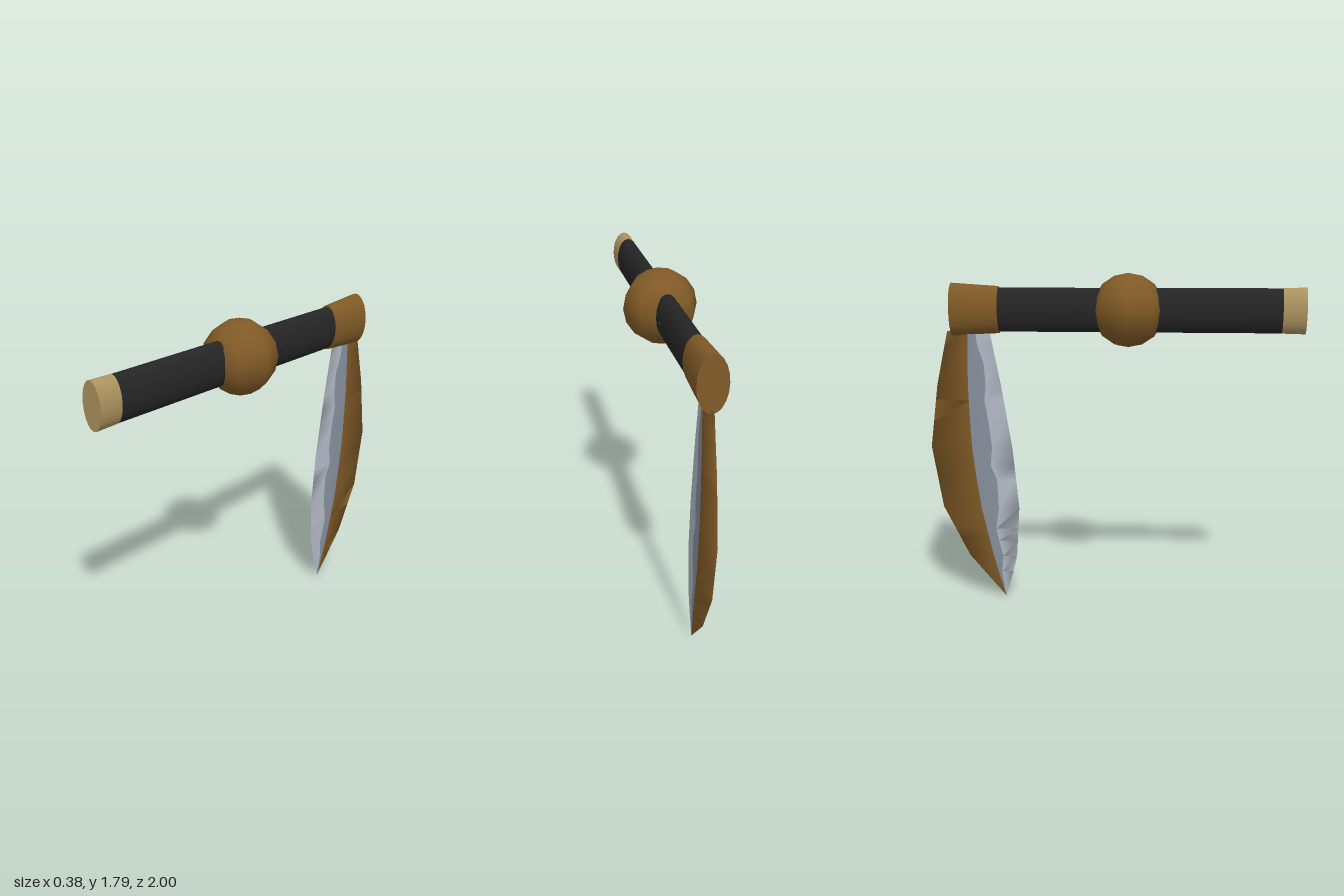
import * as THREE from 'three';

const material = (name, color) => {
  const m = new THREE.MeshStandardMaterial({ color });
  m.name = name;
  return m;
};

// Piecewise-linear lookup in a list of [y, value], ordered from top to bottom
function at(list, y) {
  for (let i = 0; i < list.length - 1; i++) {
    const [y0, v0] = list[i], [y1, v1] = list[i + 1];
    if (y >= y1) return v0 + (v1 - v0) * Math.min(1, (y0 - y) / (y0 - y1));
  }
  return list[list.length - 1][1];
}

// Thin diamond-section blade: front edge, wavy temper line, ridge and spine
function bladeGeometry() {
  const front = [[1.49, -0.655], [1.2, -0.6], [0.85, -0.545], [0.52, -0.515], [0.22, -0.535], [0.005, -0.6]];
  const spine = [[1.49, -0.885], [1.2, -0.95], [0.86, -0.995], [0.52, -0.94], [0.24, -0.8], [0.005, -0.6]];
  const ridge = [[1.49, -0.77], [1.2, -0.777], [0.88, -0.768], [0.55, -0.73], [0.25, -0.665], [0.005, -0.6]];
  const wave = [[1.49, -0.73], [1.42, -0.722], [1.32, -0.69], [1.2, -0.682], [1.12, -0.692], [1.0, -0.672],
    [0.86, -0.657], [0.76, -0.667], [0.68, -0.635], [0.52, -0.628], [0.4, -0.645], [0.33, -0.632],
    [0.24, -0.61], [0.15, -0.618], [0.005, -0.6]];
  const half = [[1.49, 0.02], [1.1, 0.019], [0.5, 0.014], [0.2, 0.009], [0.005, 0]];

  const ys = [...new Set([...wave, ...spine].map((p) => p[0]))].sort((a, b) => b - a);
  const pos = [], index = [];
  for (const y of ys) {
    const f = at(front, y), w = at(wave, y), r = at(ridge, y), h = at(half, y);
    const hw = f === r ? 0 : h * (f - w) / (f - r);
    pos.push(0, y, f, hw, y, w, h, y, r, 0, y, at(spine, y), -h, y, r, -hw, y, w);
  }
  const g = new THREE.BufferGeometry();
  // Material of each strip around the section
  [0, 1, 2, 2, 1, 0].forEach((mat, j) => {
    const start = index.length, k = (j + 1) % 6;
    for (let i = 0; i < ys.length - 1; i++) {
      const a = i * 6 + j, b = a + 6, d = i * 6 + k, c = d + 6;
      index.push(a, b, d, b, c, d);
    }
    g.addGroup(start, index.length - start, mat);
  });
  // Flat top with its own corners
  const n = pos.length / 3, start = index.length;
  pos.push(...pos.slice(0, 18));
  for (let i = 1; i < 5; i++) index.push(n, n + i, n + i + 1);
  g.addGroup(start, index.length - start, 2);
  g.setAttribute('position', new THREE.Float32BufferAttribute(pos, 3));
  g.setIndex(index);
  g.computeVertexNormals();
  return g;
}

export function createModel() {
  const group = new THREE.Group();
  const brown = material('brown', 0x805a26);
  const black = material('black', 0x252525);
  const tan = material('tan', 0xad945f);
  const light = material('bright steel', 0xb2b9c4);
  const steel = material('blue steel', 0x868f9d);
  const axisY = 1.605;

  const add = (name, geometry, mat, x = 0, y = 0, z = 0) => {
    const mesh = new THREE.Mesh(geometry, mat);
    mesh.name = name;
    mesh.position.set(x, y, z);
    group.add(mesh);
    return mesh;
  };
  // Oval rod running along z
  const rod = (name, mat, zFront, zBack, rFront, rBack) => {
    const g = new THREE.CylinderGeometry(rFront, rBack, zFront - zBack, 20);
    g.rotateX(Math.PI / 2).scale(0.53, 1, 1);
    add(name, g, mat, 0, axisY, (zFront + zBack) / 2);
  };

  rod('handle', black, 0.88, -0.6, 0.115, 0.115);
  rod('pommel', tan, 1, 0.88, 0.119, 0.116);
  rod('collar', brown, -0.6, -0.855, 0.123, 0.14);

  // Faceted ball around the handle
  add('ball', new THREE.SphereGeometry(0.192, 8, 8), brown, 0, axisY, 0.085);

  // Small studs on both sides of the handle
  for (const s of [-1, 1]) {
    add(s > 0 ? 'leftStud' : 'rightStud', new THREE.SphereGeometry(0.016, 8, 6), black, s * 0.055, axisY, -0.16);
  }

  add('blade', bladeGeometry(), [light, steel, brown]);
  return group;
}
